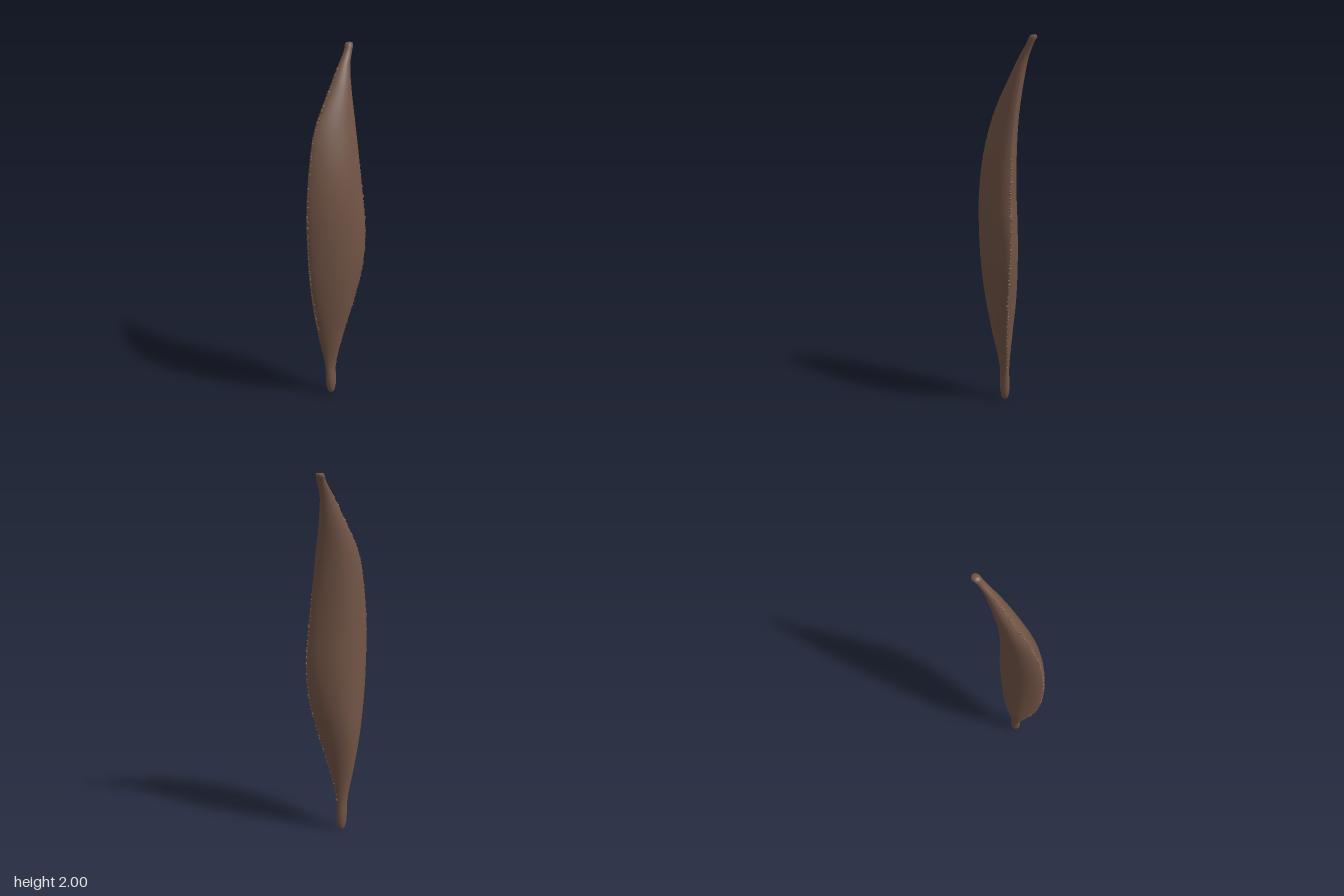
import * as THREE from 'three';
import { mergeGeometries } from 'three/addons/utils/BufferGeometryUtils.js';

// Cross-sections: y, xMin, xMax, front ridge x z, back ridge x z, roundness power
const SECTIONS = [
  [0.01, -0.05, -0.022, -0.035, 0.012, -0.035, -0.012, 0.5],
  [0.03, -0.056, -0.014, -0.035, 0.022, -0.034, -0.022, 0.5],
  [0.2, -0.06, -0.012, -0.033, 0.04, -0.03, -0.03, 0.55],
  [0.4, -0.085, 0.028, -0.022, 0.09, -0.005, -0.065, 0.7],
  [0.6, -0.104, 0.067, -0.01, 0.135, 0.025, -0.112, 0.75],
  [0.8, -0.102, 0.095, -0.005, 0.165, 0.045, -0.155, 0.75],
  [1.0, -0.096, 0.105, -0.004, 0.178, 0.05, -0.17, 0.75],
  [1.2, -0.09, 0.099, -0.007, 0.176, 0.042, -0.157, 0.75],
  [1.4, -0.089, 0.074, -0.016, 0.153, 0.027, -0.143, 0.75],
  [1.6, -0.089, 0.032, -0.036, 0.098, 0.0, -0.135, 0.7],
  [1.8, -0.089, -0.016, -0.06, -0.02, -0.043, -0.138, 0.65],
  [1.9, -0.09, -0.045, -0.072, -0.083, -0.066, -0.15, 0.6],
  [1.97, -0.1, -0.064, -0.083, -0.132, -0.08, -0.175, 0.5],
  [1.99, -0.108, -0.068, -0.088, -0.14, -0.088, -0.184, 0.5],
  [2.0, -0.104, -0.073, -0.089, -0.148, -0.089, -0.181, 0.5],
];
const ROWS = 110, COLS = 20;

const curve = new THREE.CubicInterpolant(
  SECTIONS.map((s) => s[0]), SECTIONS.flatMap((s) => s.slice(1)), 7);
const sectionAt = (y) => Array.from(curve.evaluate(y));

// Half outline from front ridge to back ridge; side is +1 (left) or -1 (right)
function halfOutline(y, side) {
  const [xMin, xMax, fx, fz, bx, bz, power] = sectionAt(y);
  const limit = side > 0 ? xMax : xMin;
  const samples = [];
  let bulge = Infinity;
  for (let i = 0; i <= COLS; i++) {
    const t = (1 - Math.cos((Math.PI * i) / COLS)) / 2;
    const swell = Math.pow(Math.max(0, 4 * t * (1 - t)), power);
    const x = fx + (bx - fx) * t;
    samples.push([x, fz + (bz - fz) * t, swell]);
    if (swell > 0.2) bulge = Math.min(bulge, (side * (limit - x)) / swell);
  }
  return samples.map(([x, z, swell]) => [x + side * bulge * swell, y, z]);
}

// One valve of the pod, closed at both ends with a fan
function valve(side) {
  const pos = [], index = [];
  const tri = (a, b, c) => (side > 0 ? index.push(a, b, c) : index.push(a, c, b));
  const y0 = SECTIONS[0][0], y1 = SECTIONS.at(-1)[0];
  for (let r = 0; r <= ROWS; r++) {
    const u = r / ROWS;
    const eased = 0.6 * u + 0.4 * (1 - Math.cos(Math.PI * u)) / 2;
    halfOutline(y0 + (y1 - y0) * eased, side).forEach((p) => pos.push(...p));
  }
  const n = COLS + 1;
  for (let r = 0; r < ROWS; r++) {
    for (let c = 0; c < COLS; c++) {
      const a = r * n + c;
      tri(a, a + 1, a + n);
      tri(a + 1, a + n + 1, a + n);
    }
  }
  const bottom = pos.length / 3;
  pos.push(-0.035, 0, 0);
  const top = bottom + 1;
  pos.push(-0.089, 1.996, -0.164);
  for (let c = 0; c < COLS; c++) {
    tri(bottom, c + 1, c);
    tri(top, ROWS * n + c, ROWS * n + c + 1);
  }
  const g = new THREE.BufferGeometry();
  g.setAttribute('position', new THREE.Float32BufferAttribute(pos, 3));
  g.setIndex(index);
  g.computeVertexNormals();
  return g;
}

// Crumbly nubs along a ridge
function seam(front, from, to, count, seed) {
  const rand = () => ((seed = (seed * 16807) % 2147483647) / 2147483647);
  const parts = [];
  for (let i = 0; i < count; i++) {
    const y = from + ((to - from) * (i + rand() * 0.7)) / count;
    const s = sectionAt(y);
    const size = 0.003 + 0.004 * rand();
    const g = new THREE.IcosahedronGeometry(1, 0);
    g.scale(size * 1.1, size * (1 + rand()), size);
    g.rotateZ(rand() * 3);
    g.translate((front ? s[2] : s[4]) + (rand() - 0.5) * 0.006, y, front ? s[3] - 0.001 : s[5] + 0.001);
    parts.push(g);
  }
  return mergeGeometries(parts);
}

export function createModel() {
  const group = new THREE.Group();
  group.name = 'seedPod';
  const husk = new THREE.MeshStandardMaterial({ color: 0x735546, side: THREE.DoubleSide });
  husk.name = 'husk brown';
  const add = (name, geometry) => {
    const mesh = new THREE.Mesh(geometry, husk);
    mesh.name = name;
    group.add(mesh);
  };
  add('leftValve', valve(1));
  add('rightValve', valve(-1));
  add('frontSeam', seam(true, 0.45, 1.9, 90, 17));
  add('backSeam', seam(false, 0.2, 1.4, 55, 91));
  return group;
}
